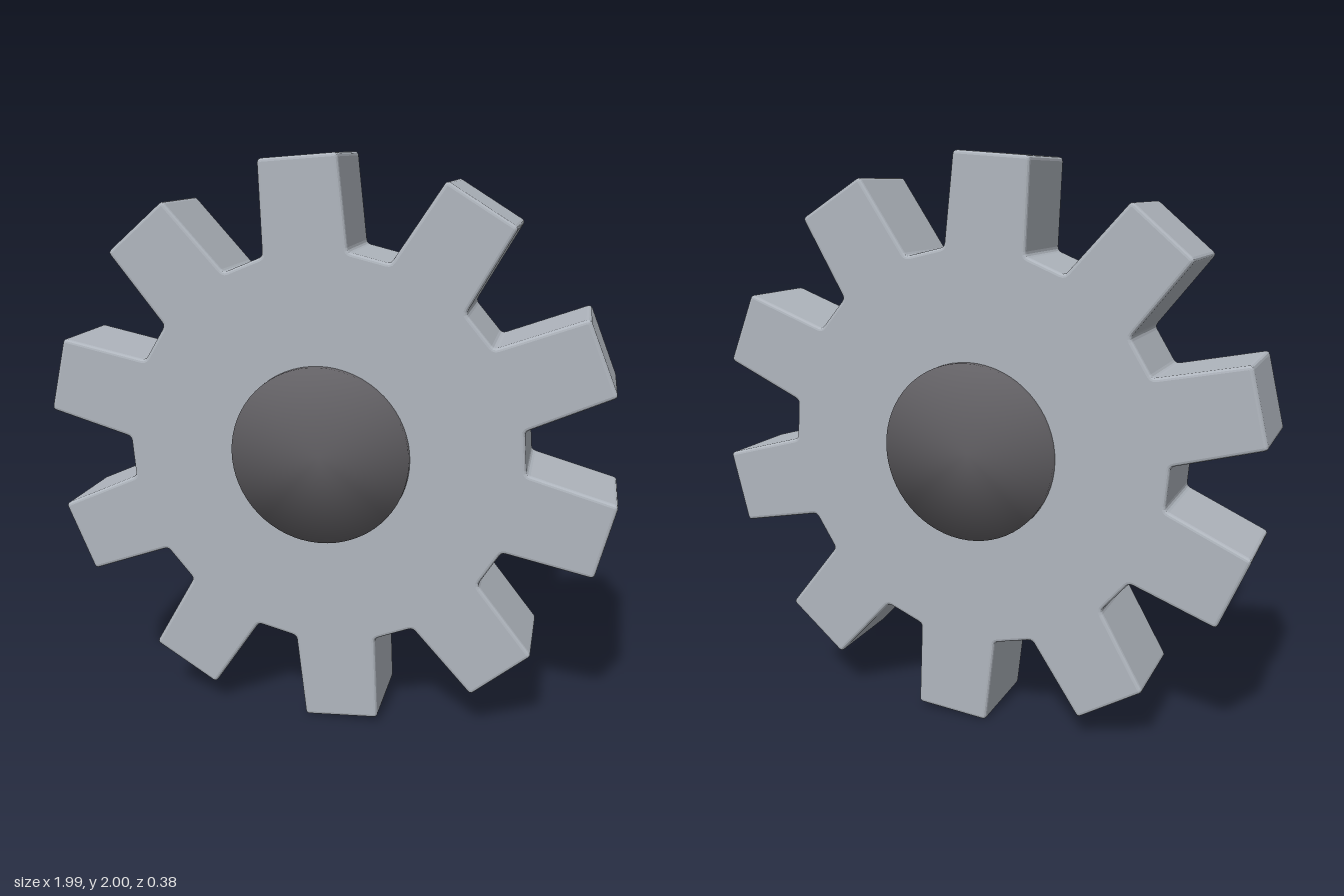
import * as THREE from 'three';

const TEETH = 10;
const START = THREE.MathUtils.degToRad(94.4); // direction of the top tooth
const HALF_DEPTH = 0.165;
const BEVEL = 0.012;

const steel = new THREE.MeshStandardMaterial({ color: 0xb0b6be });
steel.name = 'light steel';
const iron = new THREE.MeshStandardMaterial({ color: 0x626064 });
iron.name = 'dark iron';

// Gear outline: slightly tapered teeth joined by straight valleys
function gearCorners() {
  const tooth = [[0.682, -0.145], [0.995, -0.134], [0.995, 0.134], [0.682, 0.145]];
  const corners = [];
  for (let i = 0; i < TEETH; i++) {
    const angle = START + (i * Math.PI * 2) / TEETH;
    for (const [r, w] of tooth) {
      corners.push(new THREE.Vector2(r, w).rotateAround(new THREE.Vector2(), angle));
    }
  }
  return corners;
}

// Closed shape through the corners, each one softened by a small curve
function roundedShape(corners, radius) {
  const shape = new THREE.Shape();
  const n = corners.length;
  const toward = (a, b) => a.clone().add(b.clone().sub(a).setLength(radius));
  corners.forEach((c, i) => {
    const from = toward(c, corners[(i + n - 1) % n]);
    const to = toward(c, corners[(i + 1) % n]);
    if (i === 0) shape.moveTo(from.x, from.y);
    else shape.lineTo(from.x, from.y);
    shape.quadraticCurveTo(c.x, c.y, to.x, to.y);
  });
  shape.closePath();
  return shape;
}

export function createModel() {
  const model = new THREE.Group();
  model.name = 'gear';

  // Toothed wheel with softened edges
  const wheelGeometry = new THREE.ExtrudeGeometry(roundedShape(gearCorners(), 0.014), {
    depth: 2 * (HALF_DEPTH - BEVEL),
    bevelEnabled: true,
    bevelThickness: BEVEL,
    bevelSize: BEVEL,
    bevelOffset: -BEVEL,
    bevelSegments: 3,
    curveSegments: 3,
  });
  wheelGeometry.translate(0, 0, -(HALF_DEPTH - BEVEL));
  const wheel = new THREE.Mesh(wheelGeometry, steel);
  wheel.name = 'toothedWheel';
  wheel.position.y = 1;
  model.add(wheel);

  // Hub disc through the wheel, smooth-shaded across its rim
  const profile = [[0, -0.188], [0.311, -0.188], [0.311, 0.188], [0, 0.188]]
    .map(([r, h]) => new THREE.Vector2(r, h));
  const hub = new THREE.Mesh(new THREE.LatheGeometry(profile, 64), iron);
  hub.name = 'hub';
  hub.rotation.x = Math.PI / 2;
  hub.position.y = 1;
  model.add(hub);

  return model;
}
